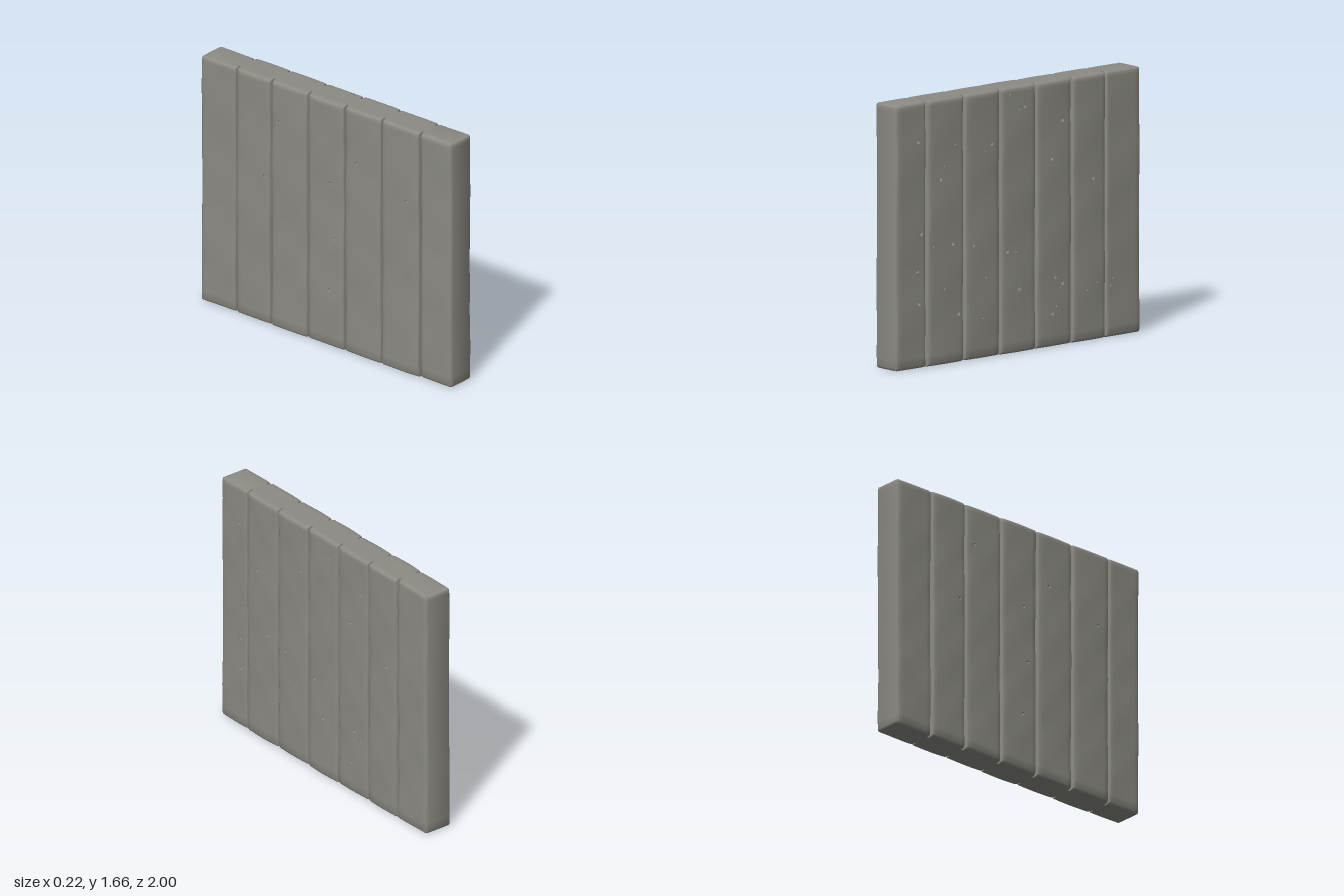
import * as THREE from 'three';
import { toCreasedNormals } from 'three/addons/utils/BufferGeometryUtils.js';

const H = 1.66;
const GROOVES = [0.749, 0.444, 0.15, -0.144, -0.438, -0.716];
const EDGES = [1, ...GROOVES, -1];
const BIG = 0.0095, SMALL = 0.0055;

// air holes in each broad face, as z, y pairs
const pits = (r, list) => list.map(([z, y]) => ({ z, y, r }));
const PITS = {
  1: [
    ...pits(BIG, [[0.82, 1.415], [0.22, 1.33], [-0.05, 1.53], [-0.36, 1.405], [-0.27, 1.175], [-0.61, 1.01],
      [0.64, 1.16], [0.79, 0.835], [0.54, 0.745], [0.37, 0.71], [0.09, 0.635], [0.82, 0.605], [0.81, 0.4],
      [0, 0.395], [0.49, 0.3], [-0.3, 0.43], [-0.36, 0.385], [-0.275, 0.205]]),
    ...pits(SMALL, [[0.52, 1.365], [0.07, 1.62], [0, 1.52], [0.61, 1.24], [0.7, 0.745], [0.02, 0.63],
      [0.61, 0.47], [0.27, 0.5], [0.3, 0.25], [-0.34, 0.36], [-0.555, 0.32], [-0.635, 0.36],
      [-0.755, 0.32], [-0.78, 0.365], [-0.305, 0.25]]),
  ],
  [-1]: pits(BIG, [[-0.37, 1.4], [0.25, 1.31], [0.65, 1.17], [0.04, 1.11], [-0.49, 1.0], [0.07, 0.74], [0.03, 0.38]]),
};
// grid lines across each pit, in radii
const STEPS = [-1, -0.5, 0.5, 1];

// sorted values without near duplicates
const tidy = (a, key) => a.sort((p, q) => key(p) - key(q)).filter((p, i) => i === 0 || key(p) - key(a[i - 1]) > 1e-4);

// profile of one broad face: z and how far each point sits below the face
function profile(side) {
  const cols = [];
  for (const s of [1, -1]) cols.push([s, 0.015], [s * 0.995, 0.005], [s * 0.985, 0]);
  for (const g of GROOVES)
    for (const s of [1, -1])
      cols.push([g + s * 0.018, 0], [g + s * 0.011, 0.003], [g + s * 0.007, 0.01], [g + s * 0.0055, 0.042]);
  for (let i = 0; i < EDGES.length - 1; i++)
    for (let k = 1; k < 6; k++) cols.push([THREE.MathUtils.lerp(EDGES[i], EDGES[i + 1], k / 6), 0]);
  for (const p of PITS[side]) for (const s of STEPS) cols.push([p.z + s * p.r, 0]);
  return tidy(cols, c => c[0]).map(([z, d]) => ({ z, d, side }));
}

// half thickness of the panel, slightly bulged and uneven on each plank
function halfThickness(z, y, side) {
  let i = 0;
  while (i < EDGES.length - 2 && z < EDGES[i + 1]) i++;
  const t = (EDGES[i] - z) / (EDGES[i] - EDGES[i + 1]);
  const end = i === 0 || i === EDGES.length - 2;
  const base = end ? 0.095 : 0.1;
  const bulge = (end ? 0.001 : 0.004) * Math.sin(Math.PI * t);
  const waves = 0.0022 * Math.sin(5.1 * y + 2.3 * i + side) + 0.0012 * Math.sin(13 * y + 9 * z + 2 * side)
    + 0.0008 * Math.sin(23 * z - 17 * y + side);
  return base + bulge + waves;
}

// steep-sided bowl for each air hole
function pitDepth(z, y, side) {
  let depth = 0;
  for (const p of PITS[side]) {
    const q = ((z - p.z) ** 2 + (y - p.y) ** 2) / p.r ** 2;
    if (q < 1) depth = Math.max(depth, 1.5 * p.r * Math.min(1, 2 * (1 - q)));
  }
  return depth;
}

function panelGeometry() {
  // closed outline, counterclockwise from above
  const loop = [...profile(1).reverse(), ...profile(-1)];

  // levels with rounded top and bottom edges
  let rows = [[0, 0.015], [0.005, 0.005], [0.015, 0], [H - 0.015, 0], [H - 0.005, 0.005], [H, 0.015]];
  for (let k = 1; k < 24; k++) rows.push([(H * k) / 24, 0]);
  for (const p of [...PITS[1], ...PITS[-1]]) for (const s of STEPS) rows.push([p.y + s * p.r, 0]);
  rows = tidy(rows, r => r[0]);

  const pos = [], index = [], n = loop.length;
  for (const [y, inset] of rows)
    for (const { z, d, side } of loop) {
      const drop = d > 0.02 ? d : d + inset + pitDepth(z, y, side);
      pos.push(side * (halfThickness(z, y, side) - drop), y, THREE.MathUtils.clamp(z, inset - 1, 1 - inset));
    }
  for (let j = 0; j < rows.length - 1; j++)
    for (let i = 0; i < n; i++) {
      const a = j * n + i, b = j * n + ((i + 1) % n);
      index.push(a, b, b + n, a, b + n, a + n);
    }

  // flat caps
  for (const [row, up] of [[0, false], [rows.length - 1, true]]) {
    const o = row * n;
    const outline = loop.map((_, i) => new THREE.Vector2(pos[(o + i) * 3], -pos[(o + i) * 3 + 2]));
    for (const [a, b, c] of THREE.ShapeUtils.triangulateShape(outline, []))
      index.push(o + a, o + (up ? b : c), o + (up ? c : b));
  }

  const geo = new THREE.BufferGeometry();
  geo.setAttribute('position', new THREE.Float32BufferAttribute(pos, 3));
  geo.setIndex(index);
  return toCreasedNormals(geo, 0.7);
}

export function createModel() {
  const concrete = new THREE.MeshStandardMaterial({ color: 0x8c8b84 });
  concrete.name = 'concrete grey';
  const panel = new THREE.Mesh(panelGeometry(), concrete);
  panel.name = 'groovedWallPanel';
  const group = new THREE.Group();
  group.name = 'concreteWall';
  group.add(panel);
  return group;
}
